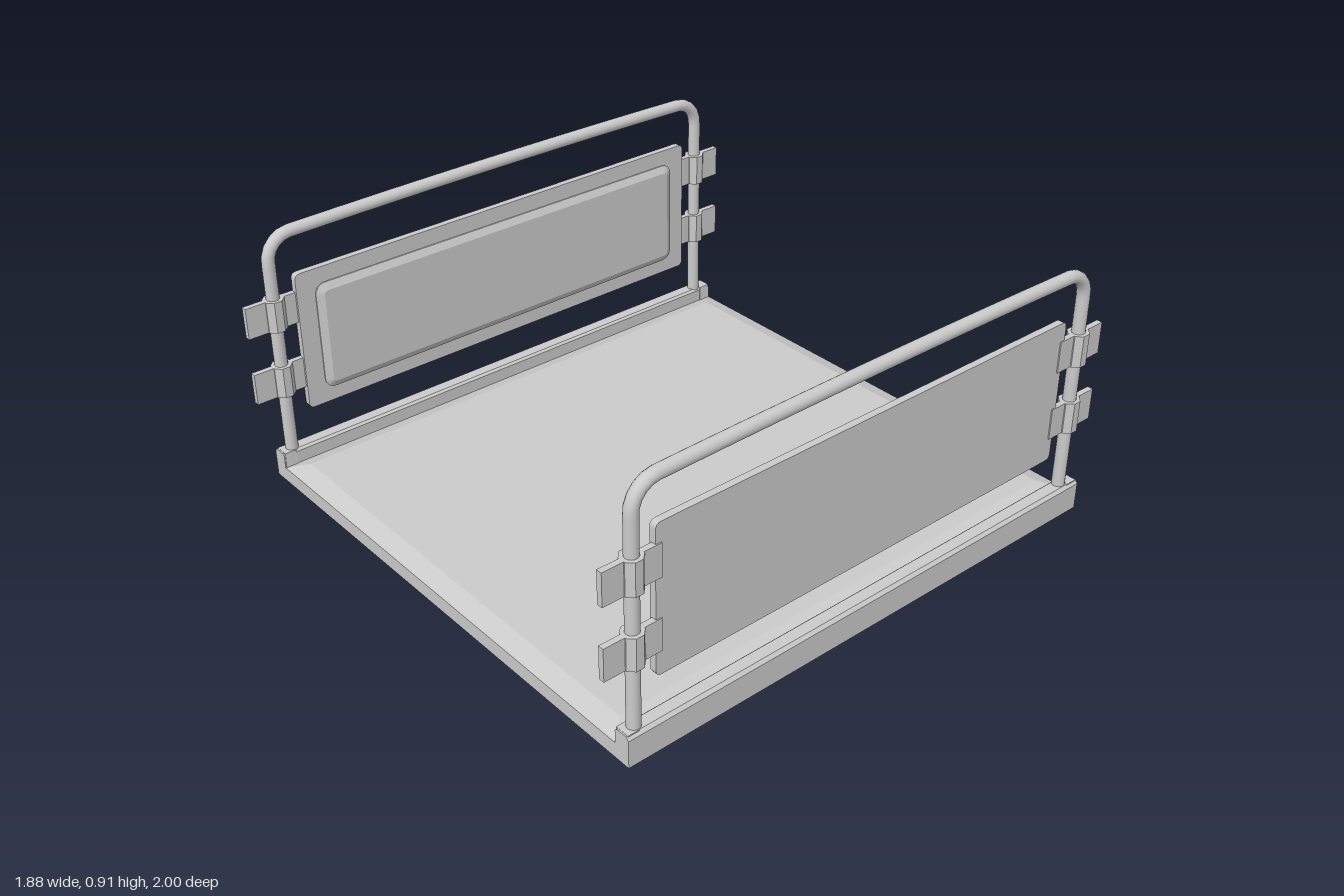
import * as THREE from 'three';

const material = new THREE.MeshStandardMaterial({ color: 0xcccccc });
const flat = new THREE.MeshStandardMaterial({ color: 0xcccccc, flatShading: true });

function add(parent, name, geometry, x = 0, y = 0, z = 0, mat = flat) {
  const mesh = new THREE.Mesh(geometry, mat);
  mesh.name = name;
  mesh.position.set(x, y, z);
  parent.add(mesh);
  return mesh;
}

// Box whose top face is pulled in on x and z
function taperedBox(w, h, d, insetX, insetZ) {
  const g = new THREE.BoxGeometry(w, h, d);
  const p = g.attributes.position;
  for (let i = 0; i < p.count; i++) {
    if (p.getY(i) < 0) continue;
    p.setX(i, p.getX(i) - Math.sign(p.getX(i)) * insetX);
    p.setZ(i, p.getZ(i) - Math.sign(p.getZ(i)) * insetZ);
  }
  return g;
}

// Rectangle with rounded corners, centred on the origin
function roundedRect(w, h, r) {
  const s = new THREE.Shape();
  const x = w / 2, y = h / 2;
  s.moveTo(-x + r, -y);
  s.lineTo(x - r, -y).quadraticCurveTo(x, -y, x, -y + r);
  s.lineTo(x, y - r).quadraticCurveTo(x, y, x - r, y);
  s.lineTo(-x + r, y).quadraticCurveTo(-x, y, -x, y - r);
  s.lineTo(-x, -y + r).quadraticCurveTo(-x, -y, -x + r, -y);
  return s;
}

// Bent tube: two uprights joined by a slightly bowed top rail
function hoopPath() {
  const path = new THREE.CurvePath();
  const v = (y, z) => new THREE.Vector3(0, y, z);
  const zs = 0.895, top = 0.885, r = 0.085;
  path.add(new THREE.LineCurve3(v(0.06, zs), v(top - r, zs)));
  path.add(new THREE.CubicBezierCurve3(v(top - r, zs), v(top - r * 0.45, zs), v(top, zs - r * 0.45), v(top, zs - r)));
  path.add(new THREE.QuadraticBezierCurve3(v(top, zs - r), v(top + 0.015, 0), v(top, r - zs)));
  path.add(new THREE.CubicBezierCurve3(v(top, r - zs), v(top, r * 0.45 - zs), v(top - r * 0.45, -zs), v(top - r, -zs)));
  path.add(new THREE.LineCurve3(v(top - r, -zs), v(0.06, -zs)));
  return path;
}

// One side assembly, built for the +x side with its inner face toward -x
function createSide() {
  const side = new THREE.Group();
  const X = 0.905;

  // Raised edge with chamfered top, run along z
  const profile = new THREE.Shape();
  [[0.88, 0], [0.938, 0], [0.938, 0.094], [0.928, 0.105], [0.888, 0.105], [0.88, 0.097]]
    .forEach(([x, y], i) => (i ? profile.lineTo(x, y) : profile.moveTo(x, y)));
  const rail = new THREE.ExtrudeGeometry(profile, { depth: 1.895, bevelEnabled: false });
  add(side, 'edgeRail', rail, 0, 0, -0.955);
  for (const z of [-0.93, 0.915]) {
    add(side, 'cornerBlock', taperedBox(0.066, 0.106, 0.05, 0.008, 0.005), 0.905, 0.053, z);
  }

  add(side, 'guardHoop', new THREE.TubeGeometry(hoopPath(), 120, 0.022, 14), X, 0, 0, material);

  // Sheet panel with a raised, bevelled inner field
  const board = new THREE.ExtrudeGeometry(roundedRect(1.64, 0.5, 0.02), { depth: 0.024, bevelEnabled: false, curveSegments: 4 });
  board.rotateY(-Math.PI / 2);
  add(side, 'sidePanel', board, 0.911, 0.485, 0);
  const field = new THREE.ExtrudeGeometry(roundedRect(1.46, 0.34, 0.015), {
    depth: 0.004, bevelThickness: 0.013, bevelSize: 0.025, bevelSegments: 1, curveSegments: 4,
  });
  field.rotateY(-Math.PI / 2);
  add(side, 'panelField', field, 0.883, 0.485, 0);

  // Clips: an eight-sided sleeve on the upright with a flat tab through it
  for (const end of [-1, 1]) {
    for (const y of [0.372, 0.615]) {
      const clip = new THREE.Group();
      clip.name = 'panelClip';
      clip.position.set(X, y, end * 0.895);
      const sleeve = new THREE.CylinderGeometry(0.036, 0.036, 0.11, 8);
      sleeve.rotateY(Math.PI / 8);
      add(clip, 'clipSleeve', sleeve);
      add(clip, 'clipTab', new THREE.BoxGeometry(0.02, 0.11, 0.2), 0, 0, end * 0.005);
      side.add(clip);
    }
  }
  return side;
}

export function createModel() {
  const model = new THREE.Group();
  model.name = 'openTray';

  // Floor slab with a raised centre
  add(model, 'floorSlab', new THREE.BoxGeometry(1.77, 0.052, 1.895), 0, 0.026, -0.0075);
  add(model, 'raisedFloor', taperedBox(1.76, 0.02, 1.89, 0.06, 0.06), 0, 0.062, -0.0075);

  const left = createSide();
  left.name = 'leftSide';
  const right = createSide();
  right.name = 'rightSide';
  right.scale.x = -1;
  model.add(left, right);
  return model;
}
